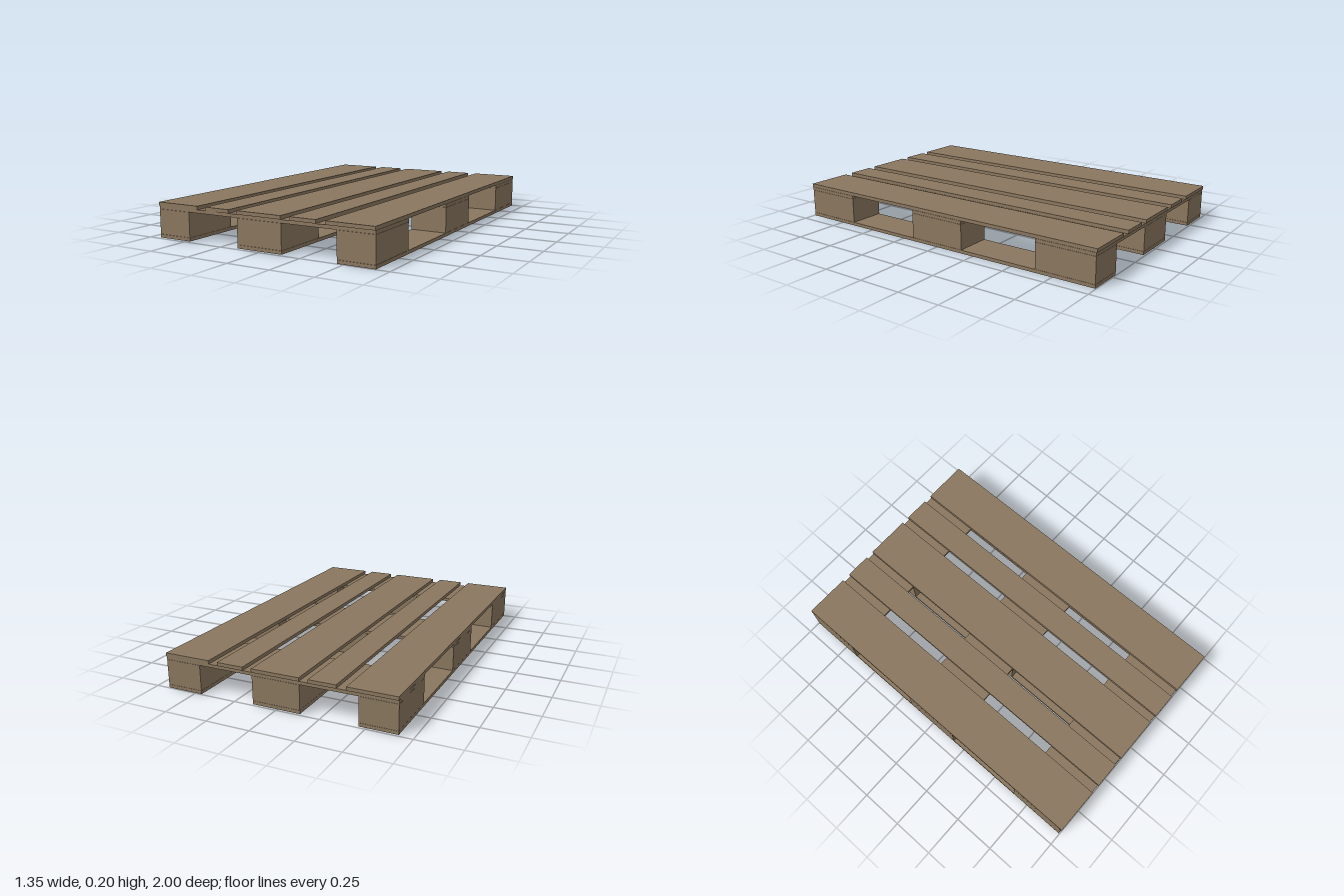
import * as THREE from 'three';

export function createModel() {
  const pallet = new THREE.Group();
  pallet.name = 'pallet';
  const wood = new THREE.MeshStandardMaterial({ color: 0x8a775f });
  wood.name = 'weathered wood';

  // Plank or block given by its centre in x and z, and its bottom and top
  function plank(name, x, z, width, length, bottom, top) {
    const mesh = new THREE.Mesh(new THREE.BoxGeometry(width, top - bottom, length), wood);
    mesh.name = name;
    mesh.position.set(x, (bottom + top) / 2, z);
    pallet.add(mesh);
  }

  // Deck boards, running front to back: [x, width]
  const deck = [[-0.537, 0.274], [-0.268, 0.155], [0, 0.277], [0.268, 0.155], [0.537, 0.274]];
  for (const [x, width] of deck) plank('deckBoard', x, 0, width, 2, 0.185, 0.205);

  // Cross boards under the deck
  const rows = [-0.822, 0, 0.822];
  for (const z of rows) plank('crossBoard', 0, z, 1.348, 0.346, 0.166, 0.184);

  // Runners: [x, width, bottom], each with a skid board and three blocks
  const runners = [[-0.569, 0.21, 0.005], [0, 0.277, 0.005], [0.568, 0.212, 0]];
  for (const [x, width, bottom] of runners) {
    plank('skidBoard', x, 0, width, 1.99, bottom, bottom + 0.019);
    for (const z of rows) plank('block', x, z, width, 0.346, bottom + 0.02, 0.165);
  }

  return pallet;
}
